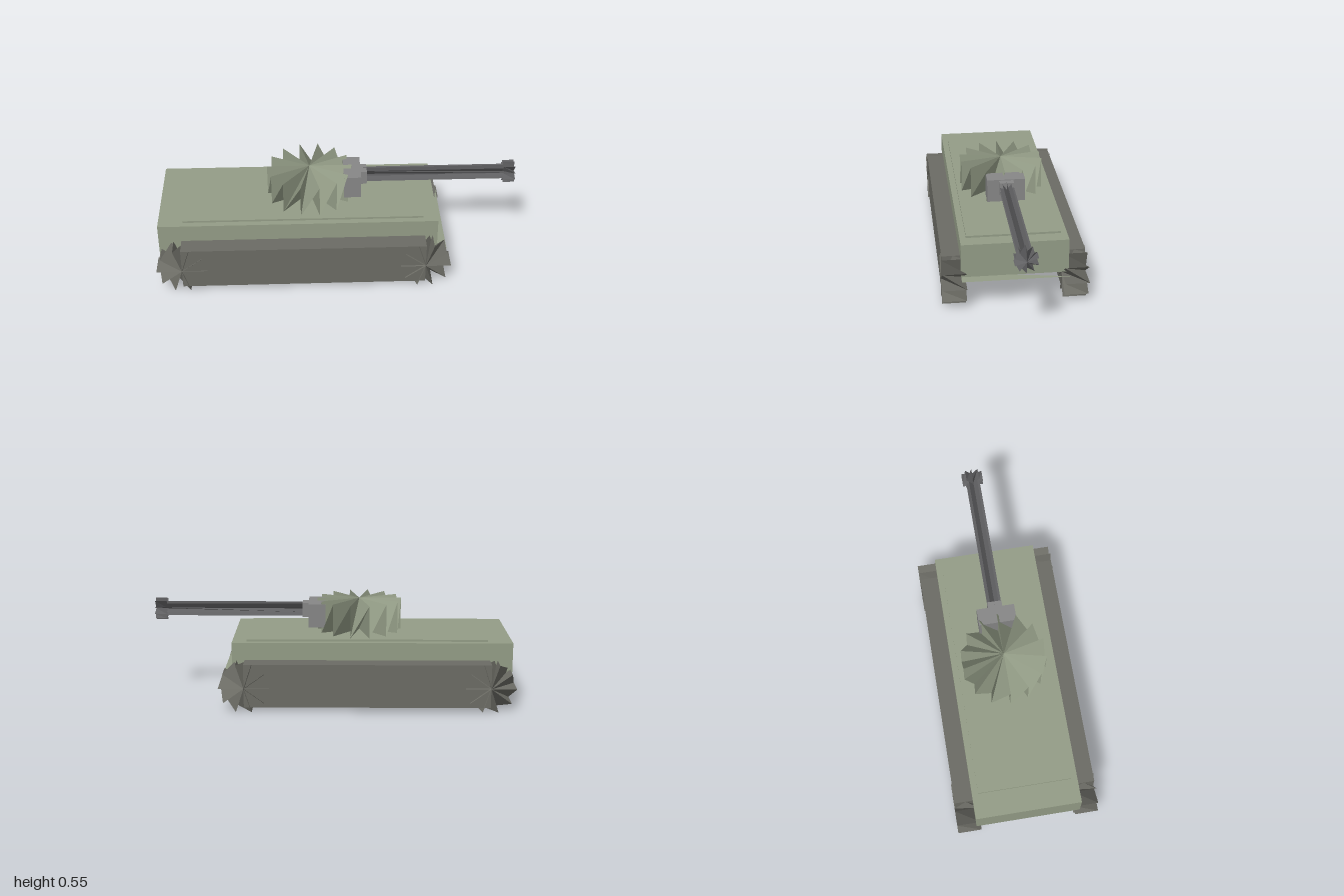
import * as THREE from 'three';

const paint = (color) => new THREE.MeshStandardMaterial({ color, flatShading: true, side: THREE.DoubleSide });
const green = paint(0x939c86);
const trackGrey = paint(0x6b6b64);
const midGrey = paint(0x868686);
const gunGrey = paint(0x606062);

function add(group, name, geometry, material) {
  const mesh = new THREE.Mesh(geometry, material);
  mesh.name = name;
  group.add(mesh);
  return mesh;
}

// Box given by its low and high corners
function box(group, name, material, [x0, y0, z0], [x1, y1, z1]) {
  const geometry = new THREE.BoxGeometry(x1 - x0, y1 - y0, z1 - z0);
  add(group, name, geometry, material).position.set((x0 + x1) / 2, (y0 + y1) / 2, (z0 + z1) / 2);
}

// Spiked drum along y: the rim zigzags between both ends, and each end
// centre fans out to the whole zigzag, leaving sharp fins and deep notches
function spikedDrum(radius, height, sides) {
  const h = height / 2;
  const points = [0, h, 0, 0, -h, 0];
  const index = [];
  const count = sides * 2;
  for (let i = 0; i < count; i++) {
    const a = (Math.floor(i / 2) / sides) * Math.PI * 2;
    points.push(radius * Math.cos(a), i % 2 ? h : -h, radius * Math.sin(a));
    const here = 2 + i;
    const next = 2 + ((i + 1) % count);
    index.push(0, next, here, 1, here, next);
  }
  const geometry = new THREE.BufferGeometry();
  geometry.setAttribute('position', new THREE.Float32BufferAttribute(points, 3));
  geometry.setIndex(index);
  const flat = geometry.toNonIndexed();
  flat.computeVertexNormals();
  return flat;
}

export function createModel() {
  const model = new THREE.Group();
  model.name = 'tank';

  // Hull, raised deck and thin front sill
  box(model, 'hull', green, [-0.985, 0.17, -0.288], [0.55, 0.362, 0.288]);
  box(model, 'deck', green, [-0.85, 0.36, -0.254], [0.47, 0.373, 0.254]);
  const sill = new THREE.BufferGeometry();
  sill.setAttribute('position', new THREE.Float32BufferAttribute(
    [0.5, 0.171, 0.288, 0.605, 0.171, 0.288, 0.605, 0.171, -0.288], 3));
  sill.computeVertexNormals();
  add(model, 'frontSill', sill, green);

  // Tracks: a long block with a spiked wheel at each end
  for (const side of [-1, 1]) {
    const track = new THREE.Group();
    track.name = side > 0 ? 'frontTrack' : 'backTrack';
    track.position.z = side * 0.327;
    box(track, 'trackBlock', trackGrey, [-0.861, 0.025, -0.06], [0.481, 0.265, 0.06]);
    for (const x of [-0.861, 0.481]) {
      const wheel = add(track, 'trackWheel', spikedDrum(0.139, 0.13, 10), trackGrey);
      wheel.rotation.x = Math.PI / 2;
      wheel.position.set(x, 0.132, 0);
    }
    model.add(track);
  }

  // Turret and gun mount
  add(model, 'turret', spikedDrum(0.235, 0.18, 14), green).position.set(-0.15, 0.463, 0);
  box(model, 'gunMount', midGrey, [0.04, 0.405, -0.105], [0.135, 0.535, 0.105]);
  box(model, 'gunCollar', midGrey, [0.135, 0.45, -0.04], [0.17, 0.53, 0.04]);

  // Gun barrel and muzzle
  for (const [name, radius, x0, x1] of [['barrel', 0.041, 0.15, 0.95], ['muzzle', 0.062, 0.935, 1]]) {
    const part = add(model, name, spikedDrum(radius, x1 - x0, 10), gunGrey);
    part.rotation.z = -Math.PI / 2;
    part.position.set((x0 + x1) / 2, 0.49, 0);
  }

  return model;
}
